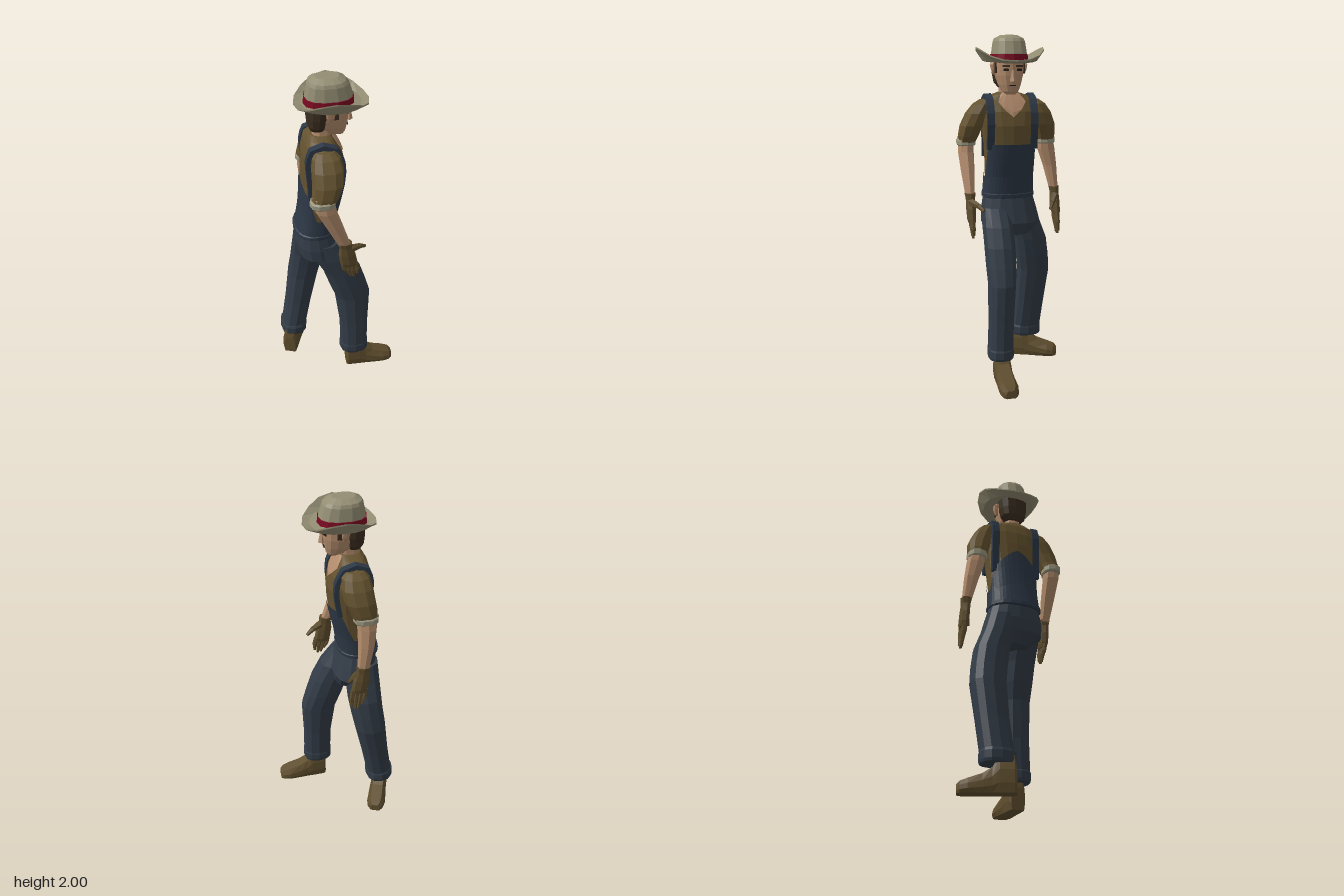
import * as THREE from 'three';

const mat = (name, color) => Object.assign(new THREE.MeshStandardMaterial({ color }), { name });
const V = (x, y, z) => new THREE.Vector3(x, y, z);
const lerp = THREE.MathUtils.lerp;

// Faceted skin through a list of point rings; cap closes both ends
function loft(rings, closed = true, cap = true) {
  const pos = [], n = rings[0].length;
  const tri = (...p) => p.forEach(q => pos.push(q.x, q.y, q.z));
  for (let i = 0; i + 1 < rings.length; i++) {
    for (let j = 0; j < (closed ? n : n - 1); j++) {
      const k = (j + 1) % n, a = rings[i], b = rings[i + 1];
      tri(a[j], b[j], b[k]);
      tri(a[j], b[k], a[k]);
    }
  }
  if (cap) {
    const s = rings[0], e = rings[rings.length - 1];
    for (let j = 1; j + 1 < n; j++) {
      tri(s[0], s[j], s[j + 1]);
      tri(e[0], e[j + 1], e[j]);
    }
  }
  const g = new THREE.BufferGeometry();
  g.setAttribute('position', new THREE.Float32BufferAttribute(pos, 3));
  g.computeVertexNormals();
  return g;
}

// Point on a rounded-square ring [y, cx, cz, rx, rz]
const P = 2.4;
function onRing([y, cx, cz, rx, rz], a, off = 0) {
  const c = Math.cos(a), s = Math.sin(a);
  const f = e => Math.sign(e) * Math.abs(e) ** (2 / P);
  return V(cx + (rx + off) * f(c), y, cz + (rz + off) * f(s));
}
function tower(rows, n = 12, cap = true) {
  const sorted = [...rows].sort((p, q) => p[0] - q[0]);
  return loft(sorted.map(r => Array.from({ length: n }, (_, j) => onRing(r, (j / n) * Math.PI * 2))), true, cap);
}
// Tapered rod between two points
function rod(a, b, r0, r1, sides = 6) {
  const d = b.clone().sub(a), g = new THREE.CylinderGeometry(r1, r0, d.length(), sides);
  g.applyQuaternion(new THREE.Quaternion().setFromUnitVectors(V(0, 1, 0), d.clone().normalize()));
  g.translate((a.x + b.x) / 2, (a.y + b.y) / 2, (a.z + b.z) / 2);
  const flat = g.toNonIndexed();
  flat.computeVertexNormals();
  return flat;
}

const TORSO = [
  [1.08, -.132, .02, .108, .145], [1.2, -.112, .02, .104, .138], [1.3, -.095, .02, .112, .143],
  [1.395, -.083, .02, .118, .15], [1.5, -.08, .02, .12, .165], [1.58, -.085, .02, .108, .185],
  [1.64, -.092, .02, .085, .165], [1.67, -.092, .025, .068, .1], [1.685, -.088, .028, .056, .056],
];
function torsoRow(y) {
  let i = 0;
  while (i < TORSO.length - 2 && TORSO[i + 1][0] < y) i++;
  const a = TORSO[i], b = TORSO[i + 1], t = (y - a[0]) / (b[0] - a[0]);
  return a.map((v, k) => lerp(v, b[k], t));
}
// Layer lying on the torso between two heights that vary with angle
function torsoPatch(a0, a1, cols, rows, low, high, off) {
  return loft(Array.from({ length: rows + 1 }, (_, i) => Array.from({ length: cols + 1 }, (_, j) => {
    const a = lerp(a0, a1, j / cols);
    return onRing(torsoRow(lerp(low(a), high(a), i / rows)), a, off);
  })), false, false);
}

export function createModel() {
  const root = new THREE.Group();
  const skin = mat('skin', 0xb38c6c), cloth = mat('brown cloth', 0x64522f), leather = mat('brown leather', 0x5f4e2e);
  const bibBlue = mat('overall blue', 0x2d3846), denim = mat('trouser denim', 0x333c47);
  const felt = mat('hat felt', 0x938d73), red = mat('band red', 0x7c0a22);
  const hairMat = mat('hair brown', 0x3b2e20), trim = mat('sleeve trim', 0x9b9880), dark = mat('eye dark', 0x221c18);
  const add = (name, g, m, parent = root) => {
    const mesh = new THREE.Mesh(g, m);
    mesh.name = name;
    parent.add(mesh);
    return mesh;
  };

  // Shirt, overalls, neckline and hem
  add('shirt', tower(TORSO, 20), cloth);
  const bibTop = a => {
    const d = Math.abs(Math.atan2(Math.sin(a), Math.cos(a)));
    if (d < 1.0) return 1.395;
    if (d < 1.4) return lerp(1.395, 1.2, (d - 1) / .4);
    if (d < 1.75) return 1.2;
    if (d < 2.15) return lerp(1.2, 1.33, (d - 1.75) / .4);
    return lerp(1.33, 1.45, (d - 2.15) / (Math.PI - 2.15));
  };
  add('overallBib', torsoPatch(0, Math.PI * 2, 40, 5, () => 1.08, bibTop, .007), bibBlue);
  add('neckline', torsoPatch(-.6, .6, 6, 5, a => 1.55 + Math.abs(a) * .21, () => 1.684, .006), skin);
  add('hem', tower([[1.075, -.132, .02, .112, .148], [1.08, -.132, .02, .121, .156], [1.1, -.13, .02, .121, .156], [1.107, -.129, .02, .11, .148]], 20), bibBlue);

  // Shoulder straps follow the torso from bib to back
  for (const s of [-1, 1]) {
    const z = .02 + s * .125, path = [];
    const at = (y, side) => {
      const [, cx, cz, rx, rz] = torsoRow(y);
      path.push(V(cx + side * rx * (1 - (Math.abs(z - cz) / rz) ** P) ** (1 / P), y, z));
    };
    for (const y of [1.37, 1.45, 1.51, 1.57, 1.61, 1.64]) at(y, 1);
    path.push(V(-.092, 1.662, z));
    for (const y of [1.64, 1.61, 1.57, 1.51, 1.42, 1.31]) at(y, -1);
    add('strap', loft(path.map((p, i) => {
      const d = path[Math.min(i + 1, path.length - 1)].clone().sub(path[Math.max(i - 1, 0)]).normalize();
      const n = V(d.y, -d.x, 0);
      return [[.016, -1], [.016, 1], [-.01, 1], [-.01, -1]].map(([o, w]) => p.clone().addScaledVector(n, o).add(V(0, 0, w * .021)));
    })), bibBlue);
  }

  // Trousers
  add('pelvis', tower([[1.1, -.13, .02, .105, .145], [1.0, -.122, .015, .12, .168], [.93, -.11, .01, .125, .175], [.86, -.1, 0, .1, .1]], 16), denim);
  add('frontTrouserLeg', tower([[1.02, -.1, .1, .09, .08], [.92, -.045, .1, .112, .09], [.81, .012, .1, .11, .09], [.7, .048, .1, .11, .088],
    [.6, .08, .103, .106, .08], [.39, .09, .11, .088, .074], [.2, .092, .115, .086, .074]]), denim);
  add('rearTrouserLeg', tower([[1.02, -.14, -.06, .1, .09], [.92, -.148, -.085, .1, .094], [.81, -.155, -.122, .1, .1], [.7, -.17, -.14, .096, .1],
    [.6, -.188, -.152, .093, .098], [.39, -.225, -.14, .082, .09], [.2, -.26, -.126, .078, .088]]), denim);
  for (const [x, z, r, w] of [[.092, .115, .09, .077], [-.262, -.125, .084, .095]]) {
    add('trouserCuff', tower([[.15, x, z, r * .95, w * .95], [.165, x, z, r, w], [.205, x, z, r, w], [.22, x, z, r * .93, w * .93]]), denim);
  }

  // Boots: sections run from heel to toe
  const section = [[.85, 0], [1, .25], [.95, .6], [.6, 1], [-.6, 1], [-.95, .6], [-1, .25], [-.85, 0]];
  const boot = (name, x, z, dx, dz) => {
    const f = V(dx, 0, dz).normalize(), u = V(-f.z, 0, f.x);
    const rows = [[0, .038, .12], [.012, .046, .19], [.085, .05, .19], [.12, .05, .13], [.17, .054, .098], [.24, .057, .075], [.28, .048, .062], [.298, .03, .045]];
    add(name, loft(rows.map(([s, w, h]) => section.map(([a, b]) =>
      V(x, b * h, z).addScaledVector(f, s).addScaledVector(u, a * w)))), leather);
  };
  boot('frontBoot', .045, .108, 1, 0);
  boot('rearBoot', -.303, -.035, .1, -.27);

  // Arms: sleeve, turned cuff, forearm and glove
  const arm = (side, sleeve, forearm, tip, thumb) => {
    const g = new THREE.Group();
    g.name = side + 'Arm';
    root.add(g);
    add('sleeve', tower(sleeve, 10), cloth, g);
    const [, cx, cz, rx, rz] = sleeve[sleeve.length - 1];
    add('sleeveCuff', tower([[1.383, cx, cz, rx, rz], [1.39, cx, cz, rx + .005, rz + .005], [1.415, cx, cz, rx + .006, rz + .006], [1.422, cx, cz, rx, rz]], 10), trim, g);
    add('forearm', tower(forearm, 8), skin, g);
    const [, wx, wz] = forearm[forearm.length - 1];
    const k = t => [lerp(wx, tip.x, t), lerp(wz, tip.z, t)];
    add('glove', tower([[1.125, ...k(-.05), .04, .032], [1.09, ...k(.08), .036, .027], [1.04, ...k(.25), .047, .028], [.98, ...k(.5), .048, .026], [.955, ...k(.6), .042, .02]], 8), leather, g);
    for (let i = 0; i < 4; i++) {
      const o = (i - 1.5) * .023, [bx, bz] = k(.55), len = [.03, .005, 0, .02][i];
      const mid = V(lerp(bx, tip.x, .5) + o * 1.05, lerp(.97, tip.y + len, .5), lerp(bz, tip.z, .4));
      add('finger', rod(V(bx + o, .975, bz), mid, .015, .014), leather, g);
      add('fingertip', rod(mid, V(tip.x + o * .8, tip.y + len, tip.z), .014, .008), leather, g);
    }
    const [tx, tz] = k(.15), root3 = V(tx + .02, 1.075, tz), knuckle = root3.clone().lerp(thumb, .6).add(V(0, .008, 0));
    add('thumb', rod(root3, knuckle, .024, .016), leather, g);
    add('thumbTip', rod(knuckle, thumb, .016, .009), leather, g);
  };
  arm('right',
    [[1.645, -.085, .16, .05, .03], [1.62, -.083, .18, .075, .05], [1.57, -.082, .21, .085, .062], [1.5, -.085, .24, .083, .066], [1.44, -.1, .258, .074, .057], [1.395, -.118, .268, .064, .049]],
    [[1.44, -.118, .266, .055, .044], [1.35, -.102, .272, .056, .046], [1.25, -.06, .27, .047, .04], [1.1, .002, .268, .033, .026]],
    V(.045, .87, .262), V(.125, 1.04, .213));
  arm('left',
    [[1.645, -.085, -.12, .05, .03], [1.62, -.085, -.138, .075, .05], [1.57, -.088, -.162, .085, .062], [1.5, -.1, -.186, .083, .066], [1.44, -.12, -.2, .074, .058], [1.395, -.13, -.206, .064, .052]],
    [[1.44, -.13, -.204, .055, .045], [1.35, -.135, -.216, .054, .053], [1.25, -.13, -.238, .047, .042], [1.1, -.11, -.26, .033, .026]],
    V(-.075, .84, -.272), V(-.04, .995, -.222));

  // Head, face and hair
  const hz = .03;
  add('neck', tower([[1.64, -.09, hz, .055, .052], [1.7, -.08, hz, .054, .05], [1.76, -.08, hz, .05, .05]], 10), skin);
  add('head', tower([[1.676, .005, hz, .026, .026], [1.692, -.012, hz, .052, .045], [1.73, -.035, hz, .085, .063], [1.78, -.047, hz, .105, .077], [1.83, -.05, hz, .109, .082], [1.885, -.05, hz, .11, .084]], 14), skin);
  add('hair', tower([[1.71, -.105, hz, .042, .05], [1.74, -.108, hz, .052, .075], [1.79, -.103, hz, .062, .086], [1.88, -.098, hz, .068, .09]], 12), hairMat);
  const nose = new THREE.CylinderGeometry(.006, .019, .062, 4).toNonIndexed();
  nose.computeVertexNormals();
  add('nose', nose, skin).position.set(.062, 1.78, hz);
  add('mouth', new THREE.BoxGeometry(.006, .006, .036), dark).position.set(.051, 1.727, hz);
  for (const s of [-1, 1]) {
    const plate = (name, y, h, w, m, x = .048) => {
      const p = add(name, new THREE.BoxGeometry(.008, h, w), m);
      p.position.set(x, y, hz + s * .037);
      p.rotation.y = -s * .35;
    };
    plate('eye', 1.812, .013, .028, dark, .052);
    plate('eyebrow', 1.832, .01, .042, hairMat, .054);
    add('sideburn', new THREE.BoxGeometry(.03, .075, .008), hairMat).position.set(-.022, 1.83, hz + s * .081);
    add('ear', tower([[1.785, -.045, hz + s * .084, .01, .008], [1.81, -.047, hz + s * .09, .02, .012], [1.84, -.05, hz + s * .094, .024, .014], [1.852, -.05, hz + s * .09, .015, .01]], 8), skin);
  }

  // Hat: upturned brim, band and crown
  const N = 16, brimRing = (r, y, lift, sag) => Array.from({ length: N }, (_, j) => {
    const a = (j / N) * Math.PI * 2, s = Math.abs(Math.sin(a));
    return V(-.031 + .195 * r * Math.cos(a), y + lift * s ** 3 - sag * Math.cos(a) ** 2, .029 + .193 * r * Math.sin(a));
  });
  add('hatBrim', loft([brimRing(.45, 1.855, 0, 0), brimRing(.8, 1.852, .01, .006), brimRing(1, 1.862, .066, .006),
    brimRing(1, 1.87, .066, .006), brimRing(.8, 1.864, .012, .006), brimRing(.45, 1.868, 0, 0)], true, false), felt);
  add('hatBand', tower([[1.86, -.045, .029, .132, .104], [1.897, -.045, .029, .129, .101]], 14), red);
  add('hatCrown', tower([[1.86, -.045, .029, .126, .098], [1.9, -.045, .029, .125, .097], [1.965, -.049, .029, .107, .088], [1.982, -.052, .029, .096, .08], [2, -.052, .029, .062, .045]], 14), felt);
  return root;
}
